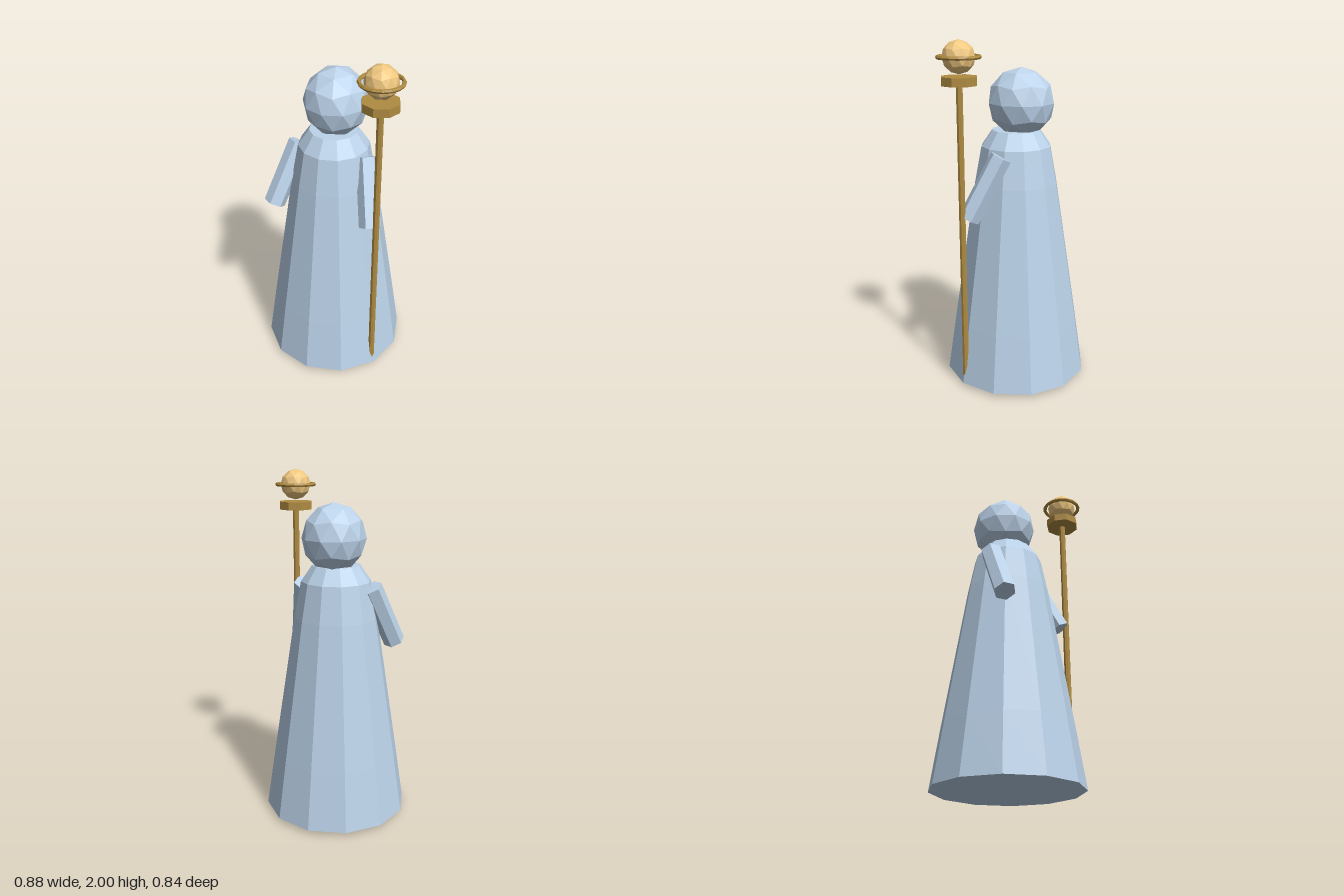
import * as THREE from 'three';

const flat = (color) => new THREE.MeshStandardMaterial({ color, flatShading: true });

// Faceted ball standing on a vertex, with an even ten-sided equator
function facetedBall(radius) {
  const g = new THREE.IcosahedronGeometry(radius, 1);
  g.rotateX(-Math.atan((1 + Math.sqrt(5)) / 2));
  g.rotateY(Math.PI / 2);
  return g;
}

// Straight prism between two points
function rod(from, to, radius, sides, material) {
  const dir = new THREE.Vector3().subVectors(to, from);
  const mesh = new THREE.Mesh(new THREE.CylinderGeometry(radius, radius, dir.length(), sides), material);
  mesh.position.copy(from).addScaledVector(dir, 0.5);
  mesh.quaternion.setFromUnitVectors(new THREE.Vector3(0, 1, 0), dir.normalize());
  return mesh;
}

export function createModel() {
  const model = new THREE.Group();
  const cloth = flat(0xbcd3ea);
  const brass = flat(0xb08c42);
  const gold = flat(0xf0c880);
  const add = (parent, name, mesh, x = 0, y = 0, z = 0) => {
    mesh.name = name;
    mesh.position.add(new THREE.Vector3(x, y, z));
    parent.add(mesh);
    return mesh;
  };

  // Robed figure, slightly off centre
  const figure = new THREE.Group();
  figure.name = 'figure';
  figure.position.x = -0.02;
  model.add(figure);

  const profile = [[0, 0.005], [0.42, 0.026], [0.37, 0.36], [0.24, 1.19], [0.2, 1.4], [0.137, 1.49], [0, 1.49]]
    .map(([r, y]) => new THREE.Vector2(r, y));
  add(figure, 'robe', new THREE.Mesh(new THREE.LatheGeometry(profile, 12), cloth));

  const head = add(figure, 'head', new THREE.Mesh(facetedBall(0.19), cloth), 0, 1.643, -0.03);
  head.scale.set(0.95, 1.02, 1);

  // Hexagonal arms reaching down and forward
  for (const [name, s] of [['leftArm', 1], ['rightArm', -1]]) {
    const shoulder = new THREE.Vector3(s * 0.205, 1.37, 0.02);
    const hand = new THREE.Vector3(s * 0.297, 1.028, 0.178);
    add(figure, name, rod(shoulder, hand, 0.062, 6, cloth));
  }

  // Staff with a ringed orb
  const staff = new THREE.Group();
  staff.name = 'staff';
  staff.position.set(0.32, 0, 0.2);
  model.add(staff);

  add(staff, 'shaft', new THREE.Mesh(new THREE.CylinderGeometry(0.019, 0.019, 1.73, 8), brass), 0, 0.915);
  add(staff, 'staffCap', new THREE.Mesh(new THREE.CylinderGeometry(0.1, 0.1, 0.046, 8), brass), 0, 1.791);
  add(staff, 'orb', new THREE.Mesh(facetedBall(0.088), gold), 0, 1.912);
  const ring = new THREE.TorusGeometry(0.109, 0.011, 6, 16).rotateX(Math.PI / 2);
  add(staff, 'orbRing', new THREE.Mesh(ring, brass), 0, 1.912);

  return model;
}
